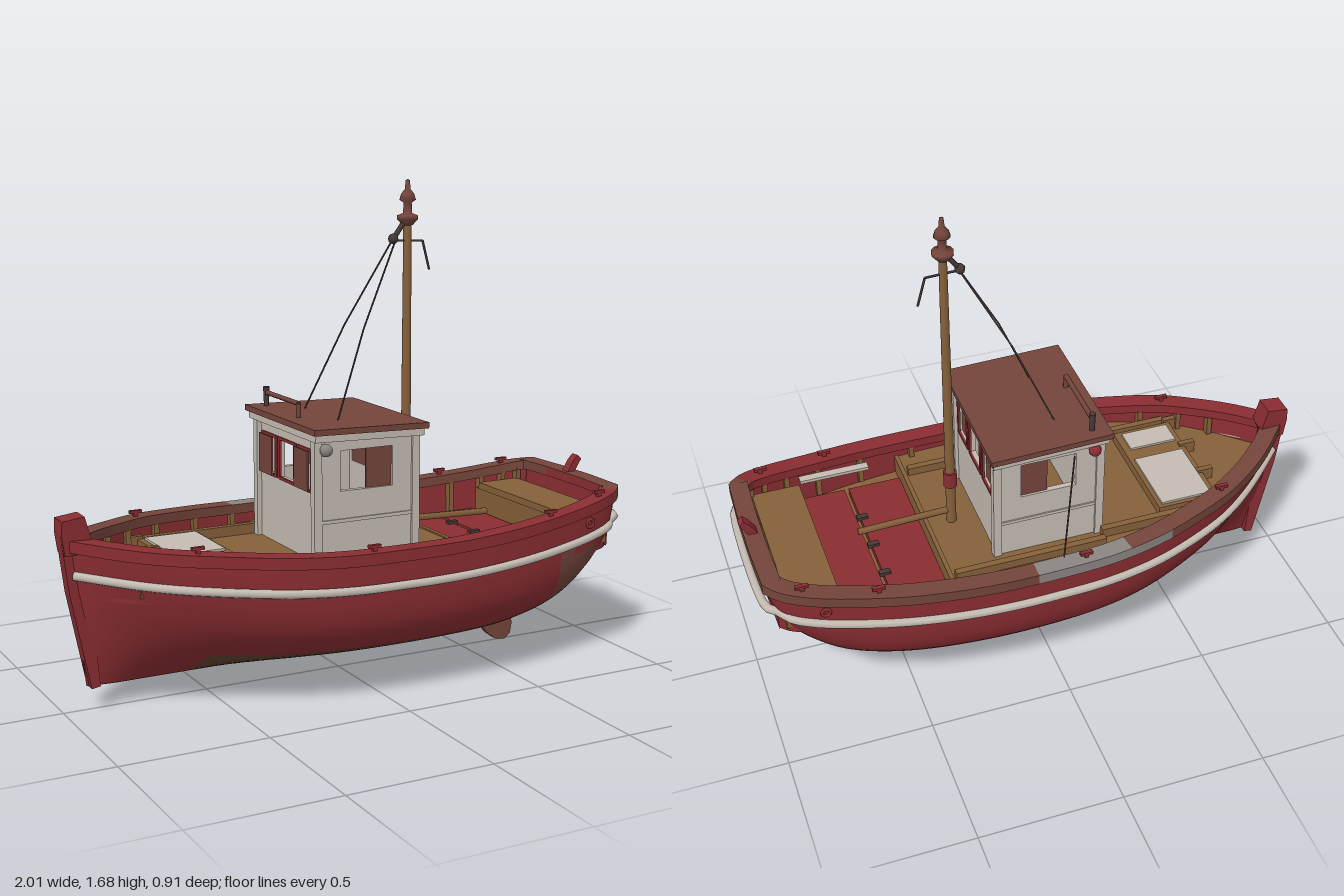
import * as THREE from 'three';

const mat = (name, color, side = THREE.DoubleSide) => {
  const m = new THREE.MeshStandardMaterial({ color, side });
  m.name = name;
  return m;
};

export function createModel() {
  const boat = new THREE.Group();
  boat.name = 'fishingBoat';
  const red = mat('hullRed', 0x8a2d32), rust = mat('rustBrown', 0x74453b), bottom = mat('bottomBrown', 0x62402f);
  const wood = mat('wood', 0x85603a), white = mat('offWhite', 0xc4bcb2), grey = mat('wornGrey', 0x8b8582);
  const dark = mat('darkMetal', 0x453a38);

  const add = (name, geo, material, x = 0, y = 0, z = 0, parent = boat) => {
    const m = new THREE.Mesh(geo, material);
    m.name = name;
    m.position.set(x, y, z);
    parent.add(m);
    return m;
  };
  const box = (name, material, x0, x1, y0, y1, z0, z1) =>
    add(name, new THREE.BoxGeometry(x1 - x0, y1 - y0, z1 - z0), material, (x0 + x1) / 2, (y0 + y1) / 2, (z0 + z1) / 2);
  const tube = (name, material, pts, r, straight = true, seg = 1) => {
    const v = pts.map(p => new THREE.Vector3(...p));
    if (!straight) return add(name, new THREE.TubeGeometry(new THREE.CatmullRomCurve3(v), seg, r, 8), material);
    for (let i = 1; i < v.length; i++)
      add(name, new THREE.TubeGeometry(new THREE.LineCurve3(v[i - 1], v[i]), 1, r, 6), material);
  };
  // Skin over a list of rings; pick(x, y, z) chooses the material of each quad
  const loft = (name, rings, mats, pick = () => 0, flat = false) => {
    const w = rings[0].length, buckets = mats.map(() => []);
    for (let i = 0; i + 1 < rings.length; i++) for (let j = 0; j + 1 < w; j++) {
      const a = i * w + j, b = a + w, p = rings[i][j], q = rings[i + 1][j + 1];
      buckets[pick(...p.map((c, k) => (c + q[k]) / 2))].push(a, b, a + 1, b, b + 1, a + 1);
    }
    let g = new THREE.BufferGeometry();
    g.setAttribute('position', new THREE.Float32BufferAttribute(rings.flat(2), 3));
    g.setIndex(buckets.flat());
    if (flat) g = g.toNonIndexed();
    g.computeVertexNormals();
    let start = 0;
    buckets.forEach((b, i) => { g.addGroup(start, b.length, i); start += b.length; });
    return add(name, g, mats);
  };

  // Hull stations: x, half width, sheer height, keel height, fullness
  const stations = [
    [-.92, .025, .575, .08, 1.2], [-.83, .13, .565, .075, 1.5], [-.73, .22, .555, .075, 2], [-.6, .305, .547, .075, 2.8],
    [-.4, .38, .532, .075, 4], [-.2, .418, .522, .075, 5], [0, .43, .52, .075, 5.5], [.25, .43, .522, .075, 5.5],
    [.5, .41, .535, .08, 5.2], [.7, .375, .553, .12, 5], [.83, .345, .57, .2, 4.5], [.92, .31, .585, .31, 4], [.972, .265, .595, .46, 3]];
  const cA = new THREE.CatmullRomCurve3(stations.map(s => new THREE.Vector3(s[0], s[1], s[2])), false, 'catmullrom');
  const cB = new THREE.CatmullRomCurve3(stations.map(s => new THREE.Vector3(s[0], s[3], s[4])), false, 'catmullrom');
  const station = t => {
    const a = cA.getPoint(t), b = cB.getPoint(t);
    return { x: a.x, hw: a.y, top: a.z, keel: b.y, n: b.z };
  };
  const rake = (x, y) => x - (y - .08) * .1 * Math.max(0, (-x - .5) / .42);
  const halfAt = (s, y) => {
    const f = THREE.MathUtils.clamp((y - s.keel) / (s.top - s.keel), 0, 1);
    return s.hw * (1 - (1 - f) ** s.n);
  };
  const N = 60, all = Array.from({ length: N + 1 }, (_, i) => station(i / N));
  const section = s => Array.from({ length: 41 }, (_, k) => {
    const j = k - 20, y = s.keel + (s.top - s.keel) * (Math.abs(j) / 20) ** 1.7;
    return [rake(s.x, y), y, Math.sign(j) * halfAt(s, y)];
  });
  loft('hull', all.map(section), [red, bottom, rust], (x, y, z) => {
    if (x > -.55 && y < .17 + .1 * Math.max(0, (x - .5) / .3)) return 1;
    return x > .66 && x < .93 && y < .41 && z > 0 ? 2 : 0;
  });
  const aft = section(all[N]);
  loft('transom', [aft, aft.map(p => [p[0], p[1], 0])], [red]);

  // Plan outline running down one side, across the stern and back
  const side = all.map(s => [rake(s.x, s.top), s.top, s.hw]);
  const outline = [...side, [.978, .597, .1], [.978, .597, -.1], ...side.map(p => [p[0], p[1], -p[2]]).reverse()];
  const inset = (i, d, y) => {
    const p = outline[i], a = outline[Math.max(0, i - 1)], b = outline[Math.min(outline.length - 1, i + 1)];
    const tx = b[0] - a[0], tz = b[2] - a[2], l = Math.hypot(tx, tz) || 1;
    const z = p[2] - tx / l * d;
    return [p[0] + tz / l * d, y, p[2] > 0 ? Math.max(z, 0) : Math.min(z, 0)];
  };
  const gunwale = outline.map((p, i) => [[-.012, -.035], [-.012, .004], [.052, .004], [.052, -.03], [-.012, -.035]]
    .map(([d, h]) => inset(i, d, p[1] + h)));
  loft('gunwale', gunwale, [red, rust, grey], (x, y, z) => {
    if (z < -.395 && x > -.5 && x < .1) return 2;
    return z < 0 || x > .93 ? 1 : 0;
  }, true);
  loft('innerBulwark', outline.map((p, i) => [inset(i, .022, p[1] - .01), inset(i, .03, .38)]), [red]);
  // Ribs inside the bulwark
  for (let i = 8; i < N - 3; i += 4) for (const k of [i, outline.length - 1 - i]) {
    const p = inset(k, .036, .48);
    box('bulwarkRib', wood, p[0] - .009, p[0] + .009, .4, outline[k][1] - .02, p[2] - .014, p[2] + .014);
  }
  // Rubbing strake
  const rail = all.filter((_, i) => i % 3 === 0).map(s => {
    const y = s.top - .115;
    return [rake(s.x, y), y, halfAt(s, y) + .006];
  });
  rail[rail.length - 1] = [.972, .487, .262];
  tube('rubbingStrake', white, [...rail, [.985, .488, .2], [.985, .488, -.2],
    ...rail.map(p => [p[0], p[1], -p[2]]).reverse()], .015, false, 160);

  // Stem, stern post and skeg
  const plate = (name, pts, depth, m) => add(name, new THREE.ExtrudeGeometry(
    new THREE.Shape(pts.map(p => new THREE.Vector2(...p))), { depth, bevelEnabled: false }), m, 0, 0, -depth / 2);
  plate('stem', [[-.91, .075], [-.88, .08], [-.92, .54], [-.905, .56], [-.925, .65], [-.995, .64], [-1, .6], [-.975, .4]], .05, red);
  plate('stemHead', [[-.92, .53], [-.9, .57], [-.922, .652], [-.997, .643], [-1, .6], [-.99, .53]], .075, red);
  plate('sternPost', [[.93, .58], [.96, .58], [1, .645], [.985, .66], [.965, .64]], .035, red);
  plate('skeg', [[.5, .08], [.58, .066], [.61, .03], [.64, .008], [.68, 0], [.705, .02], [.712, .06], [.7, .11], [.76, .17], [.6, .13]], .026, rust);

  // Deck, sunken well and benches
  const flat = (name, y, x0, x1, m) => loft(name, all.filter(s => s.x > x0 && s.x < x1).map(s => {
    const w = Math.max(.005, halfAt(s, y) - .022);
    return [[rake(s.x, y), y, w], [rake(s.x, y), y, -w]];
  }), [m]);
  flat('deck', .45, -1, .37, wood);
  flat('wellFloor', .385, .33, .95, wood);
  box('wellBulkhead', wood, .345, .36, .38, .455, -.4, .4);
  box('wellBoard', red, .365, .555, .39, .415, -.32, .32);
  box('wellBoard', red, .57, .74, .39, .415, -.32, .32);
  for (const z of [-.15, 0, .15]) box('boardHinge', dark, .53, .57, .41, .425, z - .01, z + .01);
  box('sternBench', wood, .74, .91, .5, .525, -.27, .27);
  box('benchFront', wood, .745, .76, .39, .5, -.3, .3);
  box('whitePlank', white, .48, .73, .5, .512, .3, .33);
  for (const s of [-1, 1]) {
    box('deckBeam', wood, -.64, -.2, .45, .485, s * .25 - .012, s * .25 + .012);
    box('deckBeam', wood, -.2, .34, .45, .48, s * .29 - .012, s * .29 + .012);
  }
  // Foredeck hatch
  box('hatchFrame', wood, -.65, -.43, .45, .485, -.22, .22);
  box('hatchCover', white, -.63, -.445, .485, .493, -.205, .05);
  box('hatchCover', white, -.63, -.455, .485, .493, .11, .2);
  for (const z of [-.23, -.08, .08, .23]) box('hatchBatten', wood, -.69, -.63, .45, .495, z - .01, z + .01);

  // Wheelhouse walls with open windows
  const wall = (name, half, holes) => {
    const rect = (S, a, b, c, d) => new S([[a, c], [b, c], [b, d], [a, d]].map(p => new THREE.Vector2(...p)));
    const sh = rect(THREE.Shape, -half, half, 0, .42);
    for (const [a, b] of holes) sh.holes.push(rect(THREE.Path, a, b, .24, .375));
    return add(name, new THREE.ExtrudeGeometry(sh, { depth: .02, bevelEnabled: false }), white, 0, .445, 0);
  };
  for (const s of [-1, 1]) {
    wall('cabinSideWall', .18, [[-.1, .095]]).position.set(-.01, .445, s * .215 - .01);
    box('sideShutter', rust, -.01, .085, .685, .82, s * .213 - .004, s * .213 + .004);
    box('cabinSill', white, -.2, .18, .58, .592, s * .226 - .004, s * .226 + .004);
    const end = wall('cabinEndWall', .215, [[-.185, -.085], [-.06, .06], [.085, .185]]);
    end.rotation.y = Math.PI / 2;
    end.position.x = -.01 + s * .172 - .01;
    const x = -.01 + s * .183;
    for (const [a, b] of [[-.185, -.085], [-.06, .06], [.085, .185]]) {
      for (const z of [a, b]) box('windowFrame', red, x - .004, x + .004, .68, .825, z - .007, z + .007);
      for (const y of [.683, .82]) box('windowFrame', red, x - .004, x + .004, y - .005, y + .005, a, b);
      if (a * b > 0 && b - a < .11) box('windowPane', rust, x - .018, x - .012, .685, .82, a, b);
    }
    for (const z of [-.22, .22]) box('cornerPost', white, x - .016, x + .012, .445, .87, z - .014, z + .014);
  }
  // Cabin roof
  box('roofTrim', white, -.215, .19, .855, .885, -.255, .255).rotation.z = -.025;
  box('roof', rust, -.225, .2, .88, .9, -.268, .268).rotation.z = -.025;
  tube('roofRail', rust, [[-.165, .89, .03], [-.165, .95, .03], [-.165, .95, -.22], [-.165, .89, -.22]], .009);
  add('horn', new THREE.CylinderGeometry(.012, .009, .07, 8), dark, -.165, .935, -.22);
  for (const s of [-1, 1]) add('cabinLamp', new THREE.SphereGeometry(.022, 10, 8), s > 0 ? grey : red, -.17, .83, s * .24);

  // Mast, masthead and boom
  add('mast', new THREE.CylinderGeometry(.014, .018, 1.1, 12), wood, .265, .995, 0);
  add('mastCollar', new THREE.CylinderGeometry(.024, .024, .06, 12), red, .265, .64, 0);
  const head = [[0, 1.52], [.018, 1.525], [.036, 1.545], [.036, 1.557], [.015, 1.565], [.014, 1.6], [.028, 1.61], [.022, 1.63], [.01, 1.645], [.007, 1.675], [0, 1.68]];
  add('masthead', new THREE.LatheGeometry(head.map(p => new THREE.Vector2(...p)), 12), rust, .265, 0, 0);
  add('mastBlock', new THREE.SphereGeometry(.018, 8, 6), dark, .21, 1.48, 0);
  tube('mastBracket', dark, [[.21, 1.48, 0], [.255, 1.54, 0]], .009);
  tube('mastArm', dark, [[.21, 1.475, 0], [.325, 1.47, 0], [.352, 1.37, 0]], .004);
  tube('boom', wood, [[.27, .5, 0], [.6, .49, 0]], .012);
  // Rigging
  for (const s of [-1, 1]) tube('stay', dark, [[.215, 1.48, s * .01], [.06, 1.19, s * .068], [-.07, .89, s * .125]], .003);
  tube('sideLine', dark, [[-.1, .82, -.235], [0, .55, -.415]], .003);

  // Cleats along the gunwale
  for (const i of [14, 28, 43, 52]) for (const k of [i, outline.length - 1 - i]) {
    const p = inset(k, .02, outline[k][1]);
    box('cleatPost', red, p[0] - .007, p[0] + .007, p[1], p[1] + .018, p[2] - .007, p[2] + .007);
    box('cleatBar', red, p[0] - .022, p[0] + .022, p[1] + .015, p[1] + .025, p[2] - .007, p[2] + .007);
  }
  for (const s of [-1, 1]) add('fairlead', new THREE.TorusGeometry(.014, .006, 6, 12), red, .8, .5, s * .357);
  return boat;
}
